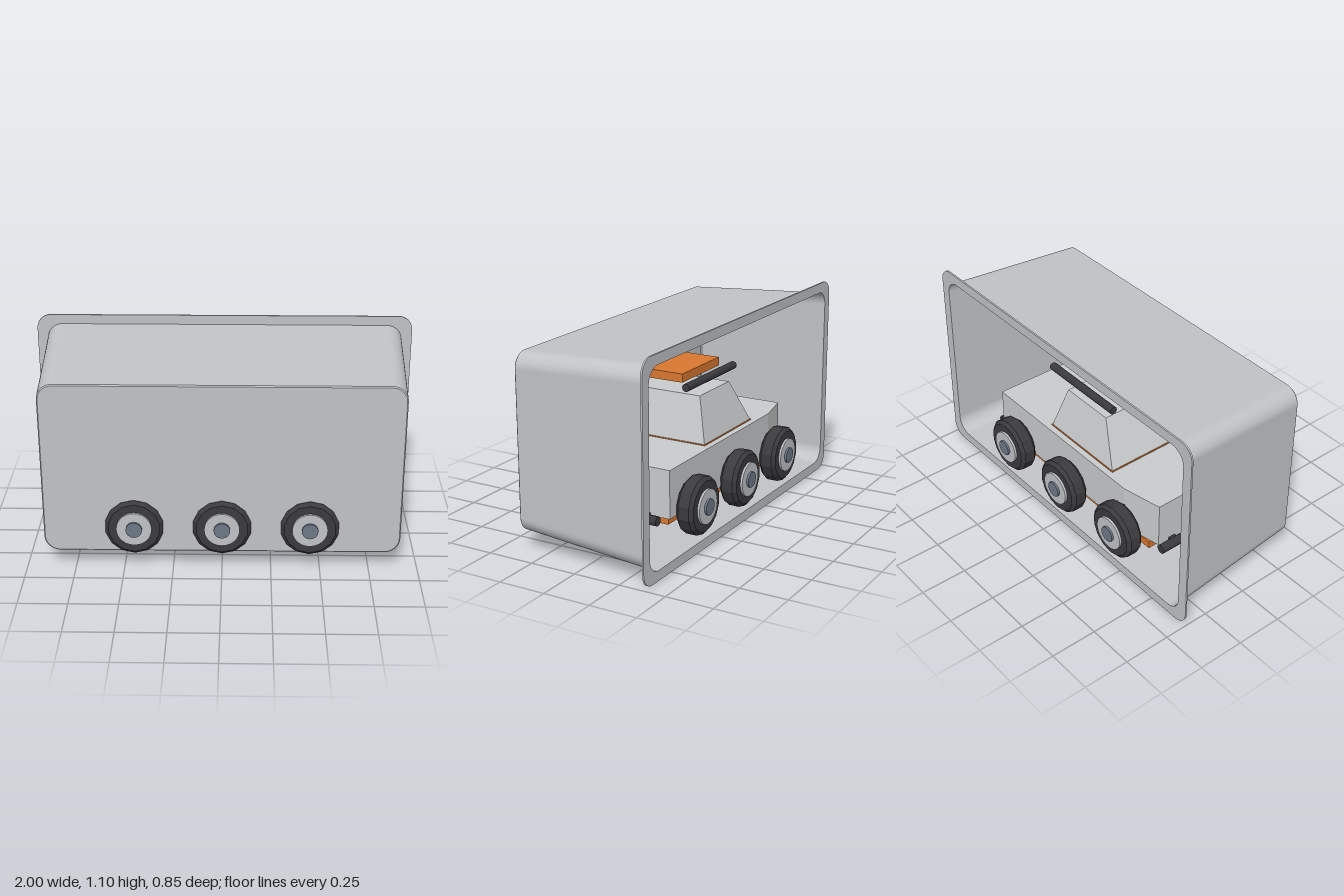
import * as THREE from 'three';

const mat = (name, color, double) => {
  const m = new THREE.MeshStandardMaterial({ color });
  m.name = name;
  if (double) m.side = THREE.DoubleSide;
  return m;
};

// Rounded rectangle outline centred on the origin
function roundRect(w, h, r) {
  const s = new THREE.Shape(), x = w / 2 - r, y = h / 2 - r;
  s.absarc(x, y, r, 0, Math.PI / 2);
  s.absarc(-x, y, r, Math.PI / 2, Math.PI);
  s.absarc(-x, -y, r, Math.PI, Math.PI * 1.5);
  s.absarc(x, -y, r, Math.PI * 1.5, Math.PI * 2);
  s.closePath();
  return s;
}

// Skin between matching rings of points, with flat facets
function loft(rings) {
  const n = rings[0].length, pos = [], idx = [];
  rings.forEach(ring => ring.forEach(p => pos.push(...p)));
  for (let k = 0; k < rings.length - 1; k++)
    for (let i = 0; i < n; i++) {
      const a = k * n + i, b = k * n + (i + 1) % n;
      idx.push(a, b, a + n, b, b + n, a + n);
    }
  const g = new THREE.BufferGeometry();
  g.setAttribute('position', new THREE.Float32BufferAttribute(pos, 3));
  g.setIndex(idx);
  const flat = g.toNonIndexed();
  flat.computeVertexNormals();
  return flat;
}

export function createModel() {
  const shell = mat('tray grey', 0xc1c3c7, true);
  const paint = mat('body grey', 0xc9cccd);
  const orange = mat('orange', 0xd9772f);
  const rubber = mat('dark rubber', 0x3b3b3e);
  const steel = mat('blue grey', 0x6c7887);

  const root = new THREE.Group();
  const add = (parent, name, geo, material, x = 0, y = 0, z = 0) => {
    const m = new THREE.Mesh(geo, material);
    m.name = name;
    m.position.set(x, y, z);
    parent.add(m);
    return m;
  };

  // Tray: tapered shell closed at the front, open at the back
  const tray = new THREE.Group();
  tray.name = 'tray';
  root.add(tray);
  const midY = 0.552;
  const ring = (w, h, r, z) => roundRect(w, h, r).getPoints(6).slice(0, -1).map(p => [p.x, p.y, z]);
  add(tray, 'trayWalls', loft([
    ring(1.89, 0.995, 0.08, -0.38),
    ring(1.812, 0.915, 0.08, 0.378),
    ring(1.8, 0.903, 0.075, 0.384),
  ]), shell, 0, midY);
  add(tray, 'trayFloor', new THREE.ShapeGeometry(roundRect(1.8, 0.903, 0.075), 6), shell, 0, midY, 0.384);
  const rim = roundRect(2, 1.1, 0.075);
  rim.holes.push(roundRect(1.89, 0.995, 0.08));
  add(tray, 'trayRim', new THREE.ExtrudeGeometry(rim, { depth: 0.009, bevelEnabled: false, curveSegments: 6 }),
    shell, 0, 0.55, -0.385);

  // Vehicle lying across the tray, its nose towards -x
  const car = new THREE.Group();
  car.name = 'vehicle';
  root.add(car);

  // Lower body: plan outline with a tapered nose
  const plan = new THREE.Shape([
    [0.62, -0.3], [0.62, 0.3], [-0.43, 0.3], [-0.645, 0.255], [-0.645, -0.255], [-0.43, -0.3],
  ].map(p => new THREE.Vector2(...p)));
  const bodyGeo = new THREE.ExtrudeGeometry(plan, { depth: 0.25, bevelEnabled: false });
  bodyGeo.rotateX(-Math.PI / 2);
  add(car, 'body', bodyGeo, paint, 0, 0.205, 0);
  add(car, 'chassis', new THREE.BoxGeometry(1.2, 0.04, 0.56), orange, 0, 0.187, 0);

  // Cabin with sloping sides on a thin trim plate
  add(car, 'cabinTrim', new THREE.BoxGeometry(0.51, 0.009, 0.534), orange, -0.038, 0.455, 0);
  const cabinGeo = new THREE.BoxGeometry(1, 1, 1);
  const p = cabinGeo.attributes.position;
  for (let i = 0; i < p.count; i++) {
    const top = p.getY(i) > 0;
    p.setXYZ(i, p.getX(i) * (top ? 0.31 : 0.5) + (top ? -0.005 : -0.038),
      top ? 0.69 : 0.458, p.getZ(i) * (top ? 0.4 : 0.525));
  }
  cabinGeo.computeVertexNormals();
  add(car, 'cabin', cabinGeo, paint);

  // Roof load and rails
  add(car, 'roofBox', new THREE.BoxGeometry(0.38, 0.045, 0.3), orange, 0.05, 0.797, 0);
  for (const s of [-1, 1]) {
    const rail = add(car, 'roofRail', new THREE.CylinderGeometry(0.021, 0.021, 0.5, 10), rubber, 0.034, 0.765, s * 0.195);
    rail.rotation.z = Math.PI / 2;
    // Bumpers at nose and tail
    const bumper = add(car, 'bumper', new THREE.CylinderGeometry(0.025, 0.025, 0.54, 10), rubber, s * 0.68, 0.21, 0);
    bumper.rotation.x = Math.PI / 2;
    for (const z of [-0.17, 0.17])
      add(car, 'bumperBracket', new THREE.BoxGeometry(0.1, 0.03, 0.04), rubber, s * 0.63, 0.205, z);
  }

  // Six wheels: faceted tyre, pale hub, small cap
  const tyre = new THREE.LatheGeometry([
    [0.001, 0.31], [0.132, 0.31], [0.15, 0.328], [0.15, 0.387], [0.132, 0.404], [0.001, 0.404],
  ].map(q => new THREE.Vector2(...q)), 14).toNonIndexed();
  tyre.computeVertexNormals();
  const hub = new THREE.CylinderGeometry(0.09, 0.09, 0.02, 24);
  const cap = new THREE.CylinderGeometry(0.042, 0.042, 0.02, 16);
  for (const x of [-0.445, 0, 0.445]) {
    const axle = add(car, 'axle', new THREE.CylinderGeometry(0.03, 0.03, 0.64, 10), rubber, x, 0.235, 0);
    axle.rotation.x = Math.PI / 2;
    for (const s of [-1, 1]) {
      const wheel = new THREE.Group();
      wheel.name = 'wheel';
      wheel.position.set(x, 0.235, 0);
      wheel.rotation.x = s * Math.PI / 2;
      add(wheel, 'tyre', tyre, rubber);
      add(wheel, 'hub', hub, shell, 0, 0.406, 0);
      add(wheel, 'hubCap', cap, steel, 0, 0.417, 0);
      car.add(wheel);
    }
  }
  return root;
}
